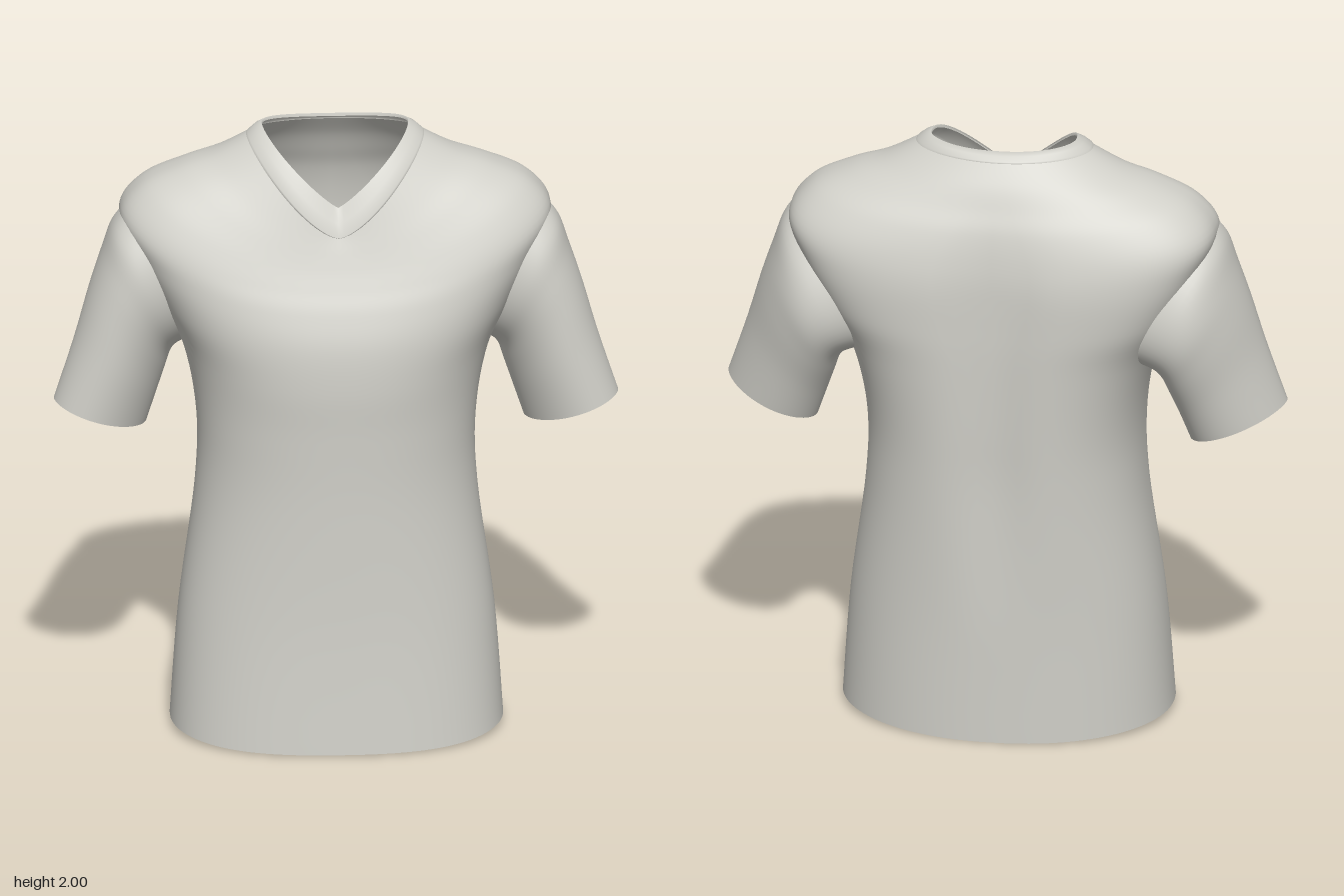
import * as THREE from 'three';

const SEGMENTS = 96;

// Smoothly interpolates a table of section parameters
function resample(rows, steps) {
  const out = [];
  const last = rows.length - 1;
  for (let s = 0; s <= last * steps; s++) {
    const i = Math.min(Math.floor(s / steps), last - 1);
    const t = s / steps - i;
    const [a, b, c, d] = [rows[Math.max(i - 1, 0)], rows[i], rows[i + 1], rows[Math.min(i + 2, last)]];
    out.push(b.map((p, k) => p + 0.5 * t * (c[k] - a[k]
      + t * (2 * a[k] - 5 * p + 4 * c[k] - d[k] + t * (3 * (p - c[k]) + d[k] - a[k])))));
  }
  return out;
}

// Joins closed rings of points into one smooth skin; skip() leaves openings
function skin(rings, flip = false, skip = () => false) {
  const n = rings[0].length;
  const points = rings.flat();
  const index = [];
  for (let r = 0; r < rings.length - 1; r++) {
    for (let j = 0; j < n; j++) {
      const k = (j + 1) % n;
      const a = r * n + j, b = r * n + k, c = (r + 1) * n + k, d = (r + 1) * n + j;
      const mid = points[a].clone().add(points[c]).multiplyScalar(0.5);
      if (skip(mid)) continue;
      if (flip) index.push(a, b, c, a, c, d);
      else index.push(a, c, b, a, d, c);
    }
  }
  const geometry = new THREE.BufferGeometry().setFromPoints(points);
  geometry.setIndex(index);
  geometry.computeVertexNormals();
  return geometry;
}

// Torso section: side height, half width, seam z, front y, front z, back y, back z,
// front roundness, back roundness, dip power
function torsoRing([ySide, halfWidth, zSeam, yFront, zFront, yBack, zBack, roundFront, roundBack, dip]) {
  const ring = [];
  for (let j = 0; j < SEGMENTS; j++) {
    const a = (j / SEGMENTS) * Math.PI * 2;
    const c = Math.cos(a), s = Math.sin(a);
    const front = s >= 0;
    const round = front ? roundFront : roundBack;
    const x = halfWidth * Math.sign(c) * Math.abs(c) ** (2 / round);
    const depth = Math.abs(s) ** (2 / round);
    const yMid = front ? yFront : yBack;
    const y = yMid + (ySide - yMid) * Math.abs(c) ** (front ? dip : 2);
    let z = zSeam + ((front ? zFront : zBack) - zSeam) * depth;
    // shallow hollow down the spine
    if (!front) {
      const fade = THREE.MathUtils.smoothstep(y, 0.3, 1.0) * (1 - THREE.MathUtils.smoothstep(y, 1.5, 1.9));
      z += fade * (0.035 * Math.exp(-((x / 0.12) ** 2)) - 0.006) * depth;
    }
    ring.push(new THREE.Vector3(x, y, z));
  }
  return ring;
}

// Sleeve section: top x, top y, bottom x, bottom y, centre z, half depth, inset of the middle, taper
function sleeveRing([xTop, yTop, xBottom, yBottom, z, halfDepth, inset, taper], side) {
  const ring = [];
  for (let j = 0; j < 56; j++) {
    const a = (j / 56) * Math.PI * 2;
    const c = Math.cos(a), s = Math.sin(a);
    const t = (1 + c) / 2;
    ring.push(new THREE.Vector3(
      side * (xBottom + (xTop - xBottom) * t - inset * s * s),
      yBottom + (yTop - yBottom) * t,
      z + halfDepth * Math.sign(s) * Math.abs(s) ** taper + 0.04 * c));
  }
  return ring;
}

export function createModel() {
  const group = new THREE.Group();
  const fabric = new THREE.MeshStandardMaterial({ color: 0xd0cfc8, side: THREE.DoubleSide });
  fabric.name = 'light grey fabric';
  const add = (name, geometry) => {
    const mesh = new THREE.Mesh(geometry, fabric);
    mesh.name = name;
    group.add(mesh);
  };

  // Torso from the hem over the shoulders to the neck seam
  const torso = [
    [0.025, 0.533, 0.03, 0.005, 0.38, 0.0, -0.347, 2.35, 2.2, 4],
    [0.4, 0.505, 0.025, 0.4, 0.352, 0.4, -0.35, 2.2, 2.3, 2],
    [0.8, 0.452, 0.01, 0.8, 0.34, 0.8, -0.364, 2.15, 2.4, 2],
    [1.05, 0.447, 0.0, 1.05, 0.341, 1.05, -0.375, 2.2, 2.5, 2],
    [1.28, 0.49, -0.03, 1.22, 0.345, 1.28, -0.381, 2.25, 2.8, 2],
    [1.45, 0.575, -0.05, 1.36, 0.333, 1.42, -0.381, 2.25, 3.2, 2],
    [1.6, 0.65, -0.055, 1.47, 0.3, 1.56, -0.378, 2.25, 3.3, 2],
    [1.715, 0.69, -0.055, 1.54, 0.268, 1.66, -0.363, 2.2, 3.1, 2],
    [1.81, 0.622, -0.06, 1.59, 0.245, 1.75, -0.337, 2.2, 2.7, 2],
    [1.87, 0.5, -0.06, 1.63, 0.228, 1.82, -0.303, 2.15, 2.4, 1.9],
    [1.908, 0.39, -0.065, 1.665, 0.213, 1.89, -0.267, 2.1, 2.2, 1.7],
    [1.965, 0.285, -0.07, 1.7, 0.197, 1.955, -0.222, 2, 2, 1.5],
  ];
  const armhole = (p) => Math.abs(p.x) > 0.4
    && ((p.y - 1.48) / 0.14) ** 2 + ((p.z + 0.09) / 0.12) ** 2 < 1;
  add('torso', skin(resample(torso, 6).map(torsoRing), false, armhole));

  // Neckband with a pointed front and a folded inner edge
  const neckband = [
    [1.965, 0.285, -0.07, 1.7, 0.197, 1.955, -0.222, 2, 2, 1.5],
    [1.972, 0.28, -0.07, 1.703, 0.203, 1.96, -0.222, 2, 2, 1.45],
    [1.99, 0.258, -0.075, 1.745, 0.181, 1.975, -0.207, 2, 2.1, 1.3],
    [2.0, 0.235, -0.08, 1.79, 0.155, 1.985, -0.19, 2, 2.2, 1.15],
    [1.99, 0.233, -0.08, 1.783, 0.15, 1.975, -0.188, 2, 2.2, 1.15],
  ];
  add('neckband', skin(neckband.map(torsoRing)));

  // Sleeves, mirrored
  const sleeve = [
    [0.675, 1.73, 0.46, 1.27, -0.09, 0.2, 0.06, 0.9],
    [0.717, 1.672, 0.5, 1.255, -0.09, 0.215, 0.025, 0.9],
    [0.748, 1.585, 0.523, 1.225, -0.088, 0.212, 0.005, 1],
    [0.79, 1.46, 0.542, 1.17, -0.075, 0.195, 0, 1.05],
    [0.84, 1.29, 0.57, 1.09, -0.055, 0.172, 0, 1.12],
    [0.903, 1.1, 0.603, 0.995, -0.038, 0.15, 0, 1.15],
  ];
  for (const side of [1, -1]) {
    const rings = resample(sleeve, 5).map((row) => sleeveRing(row, side));
    add(side > 0 ? 'leftSleeve' : 'rightSleeve', skin(rings, side > 0));
  }
  return group;
}
